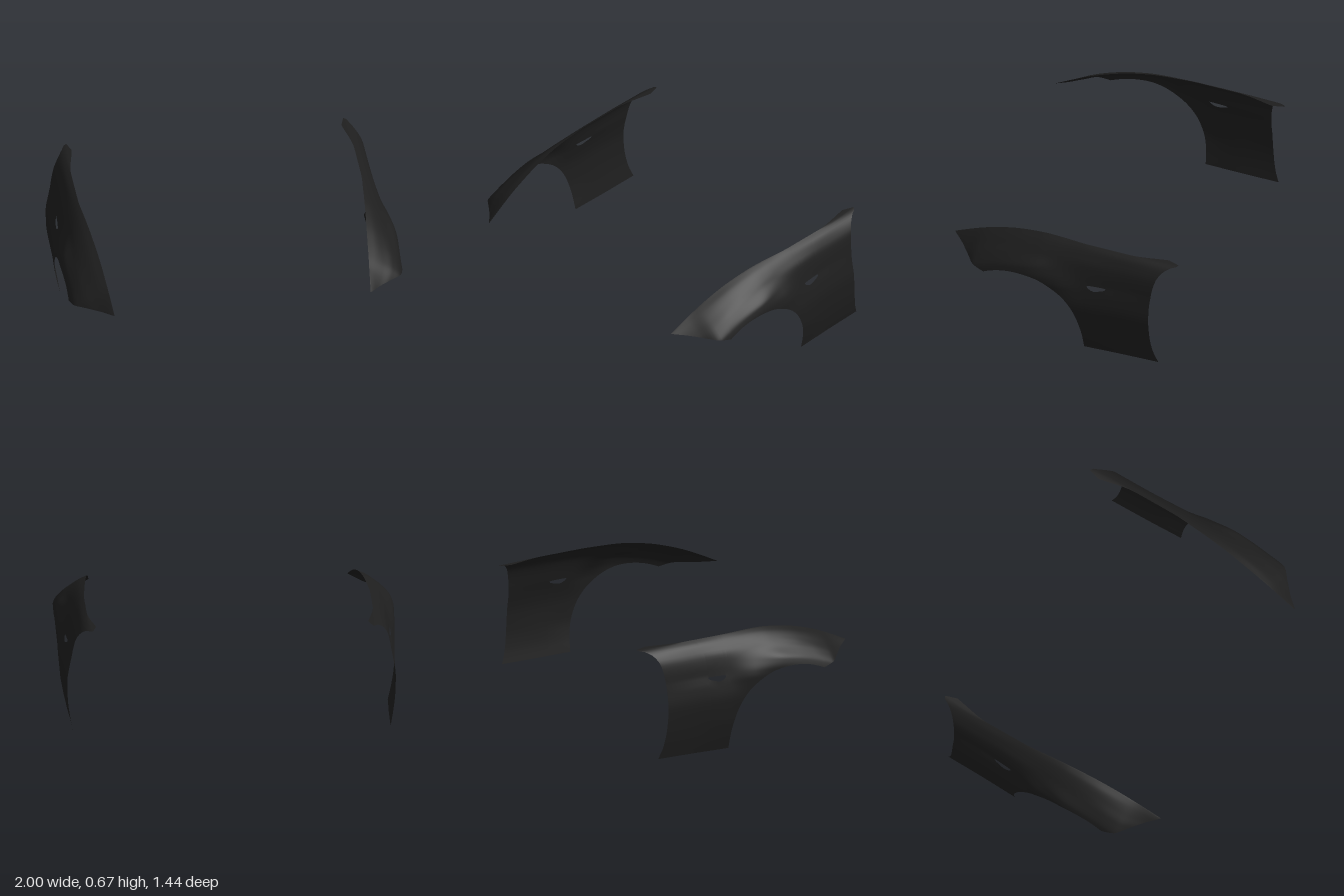
import * as THREE from 'three';
import { mergeVertices } from 'three/addons/utils/BufferGeometryUtils.js';

// Smooth 1D interpolation through (xs, ys), xs ascending
function smooth(xs, ys, x) {
  const n = xs.length;
  x = Math.min(Math.max(x, xs[0]), xs[n - 1]);
  let i = 0;
  while (i < n - 2 && x > xs[i + 1]) i++;
  const slope = k => (ys[k + 1] - ys[k]) / (xs[k + 1] - xs[k]);
  const tangent = k => {
    if (k === 0) return slope(0);
    if (k === n - 1) return slope(n - 2);
    const a = slope(k - 1), b = slope(k);
    return a * b <= 0 ? 0 : (2 * a * b) / (a + b);
  };
  const h = xs[i + 1] - xs[i], t = (x - xs[i]) / h, t2 = t * t, t3 = t2 * t;
  return (2 * t3 - 3 * t2 + 1) * ys[i] + (t3 - 2 * t2 + t) * h * tangent(i)
    + (3 * t2 - 2 * t3) * ys[i + 1] + (t3 - t2) * h * tangent(i + 1);
}

// Height of the bonnet-side edge along z
const topY = z => smooth(
  [-0.72, -0.2, 0, 0.1, 0.2, 0.3, 0.4, 0.5, 0.6, 0.72],
  [0.673, 0.673, 0.672, 0.668, 0.655, 0.635, 0.606, 0.57, 0.525, 0.465], z);

// Body cross-sections: half width at each drop below the top edge
const DROPS = [0, 0.003, 0.02, 0.05, 0.09, 0.15, 0.21, 0.25, 0.37, 0.47, 0.57, 0.67];
const STATIONS = [-0.6, -0.385, -0.17, 0, 0.2, 0.4, 0.52, 0.6, 0.72];
const SECTIONS = [
  [0.80, 0.83, 0.865, 0.893, 0.915, 0.93, 0.94, 0.948, 0.965, 0.962, 0.95, 0.93],
  [0.84, 0.845, 0.87, 0.893, 0.915, 0.932, 0.943, 0.955, 0.972, 0.967, 0.955, 0.935],
  [0.84, 0.845, 0.867, 0.893, 0.92, 0.94, 0.955, 0.965, 0.983, 0.98, 0.965, 0.943],
  [0.828, 0.834, 0.86, 0.89, 0.92, 0.957, 0.985, 0.993, 0.995, 0.985, 0.97, 0.945],
  [0.81, 0.817, 0.85, 0.888, 0.928, 0.985, 1, 1, 1, 1, 1, 1],
  [0.79, 0.797, 0.835, 0.88, 0.932, 0.98, 0.995, 0.995, 0.995, 0.995, 0.995, 0.995],
  [0.779, 0.786, 0.82, 0.868, 0.924, 0.977, 0.99, 0.99, 0.99, 0.99, 0.99, 0.99],
  [0.771, 0.776, 0.802, 0.842, 0.89, 0.93, 0.95, 0.95, 0.95, 0.95, 0.95, 0.95],
  [0.76, 0.765, 0.785, 0.81, 0.84, 0.86, 0.87, 0.87, 0.87, 0.87, 0.87, 0.87],
];
const halfWidth = (z, drop) => smooth(STATIONS, SECTIONS.map(s => smooth(DROPS, s, drop)), z);

// Door-side edge, as z at each drop below the top
const rearZ = drop => smooth(
  [0, 0.002, 0.013, 0.038, 0.088, 0.173, 0.273, 0.373, 0.503, 0.593, 0.663],
  [-0.65, -0.72, -0.68, -0.64, -0.609, -0.591, -0.583, -0.585, -0.595, -0.611, -0.636], drop);

const ARCH_END = -0.17, MID = 0.46, UPPER = 16, LOWER = 16;

// Each column: nominal z, panel fraction s, bottom height, and the vent's upper and lower heights
function makeColumns() {
  const cols = [];
  const split = (z, bottom) => {
    const f = (topY(ARCH_END) - MID) / topY(ARCH_END);
    const mid = topY(z) + (bottom - topY(z)) * f;
    cols.push({ z, s: -1, bottom, hi: mid, lo: mid });
  };
  // Nose, below the headlamp
  for (let i = 0; i < 18; i++) {
    const z = 0.72 - 0.27 * i / 18;
    split(z, smooth([0.45, 0.6, 0.72], [0.406, 0.441, 0.465], z));
  }
  // Wheel arch
  const arch = new THREE.SplineCurve([
    [0.45, 0.406], [0.42, 0.42], [0.36, 0.442], [0.29, 0.457], [0.22, 0.462], [0.15, 0.456],
    [0.08, 0.436], [0, 0.393], [-0.06, 0.343], [-0.11, 0.274], [-0.145, 0.19], [-0.164, 0.1],
    [ARCH_END, 0],
  ].map(p => new THREE.Vector2(...p)));
  arch.getSpacedPoints(48).forEach(p => split(p.x, p.y));
  // Side panel with the vent
  const vent = [0.048, 0.06, 0.085, 0.12, 0.158, 0.2, 0.245, 0.29, 0.32, 0.33];
  const ventHi = [MID, 0.461, 0.462, 0.463, 0.463, 0.464, 0.464, 0.464, 0.463, MID];
  const ventLo = [MID, 0.45, 0.442, 0.435, 0.432, 0.435, 0.441, 0.447, 0.453, MID];
  const panel = (s, hi, lo) => cols.push({ z: ARCH_END - 0.43 * s, s, bottom: 0.01 * s, hi, lo });
  panel(0.024, MID, MID);
  vent.forEach((s, i) => panel(s, ventHi[i], ventLo[i]));
  for (let i = 1; i <= 14; i++) panel(0.33 + 0.67 * i / 14, MID, MID);
  return cols;
}

// Sheet lofted through the columns; side is +1 for left, -1 for right
function wingGeometry(side) {
  const cols = makeColumns(), rows = UPPER + LOWER + 2;
  const positions = [], index = [];
  cols.forEach((c, i) => {
    const top = topY(c.z);
    for (let j = 0; j < rows; j++) {
      const y = j <= UPPER
        ? top + (c.hi - top) * Math.pow(j / UPPER, 1.7)
        : c.lo + (c.bottom - c.lo) * (j - UPPER - 1) / LOWER;
      const drop = top - y;
      const z = c.s < 0 ? c.z : ARCH_END + c.s * (rearZ(drop) - ARCH_END);
      positions.push(side * halfWidth(c.z, drop), y, z);
      // The row between the two halves stays open, which leaves the vent
      if (i === cols.length - 1 || j === rows - 1 || j === UPPER) continue;
      const a = i * rows + j, b = a + 1, d = a + rows, e = d + 1;
      if (side > 0) index.push(a, b, d, b, e, d);
      else index.push(a, d, b, b, d, e);
    }
  });
  let geometry = new THREE.BufferGeometry();
  geometry.setAttribute('position', new THREE.Float32BufferAttribute(positions, 3));
  geometry.setIndex(index);
  geometry = mergeVertices(geometry, 1e-5);
  geometry.computeVertexNormals();
  return geometry;
}

export function createModel() {
  const group = new THREE.Group();
  group.name = 'frontFenders';
  const blackPaint = new THREE.MeshStandardMaterial({ color: 0x1e1e1e, side: THREE.DoubleSide });
  blackPaint.name = 'blackPaint';
  for (const [name, side] of [['leftFender', 1], ['rightFender', -1]]) {
    const mesh = new THREE.Mesh(wingGeometry(side), blackPaint);
    mesh.name = name;
    group.add(mesh);
  }
  return group;
}
